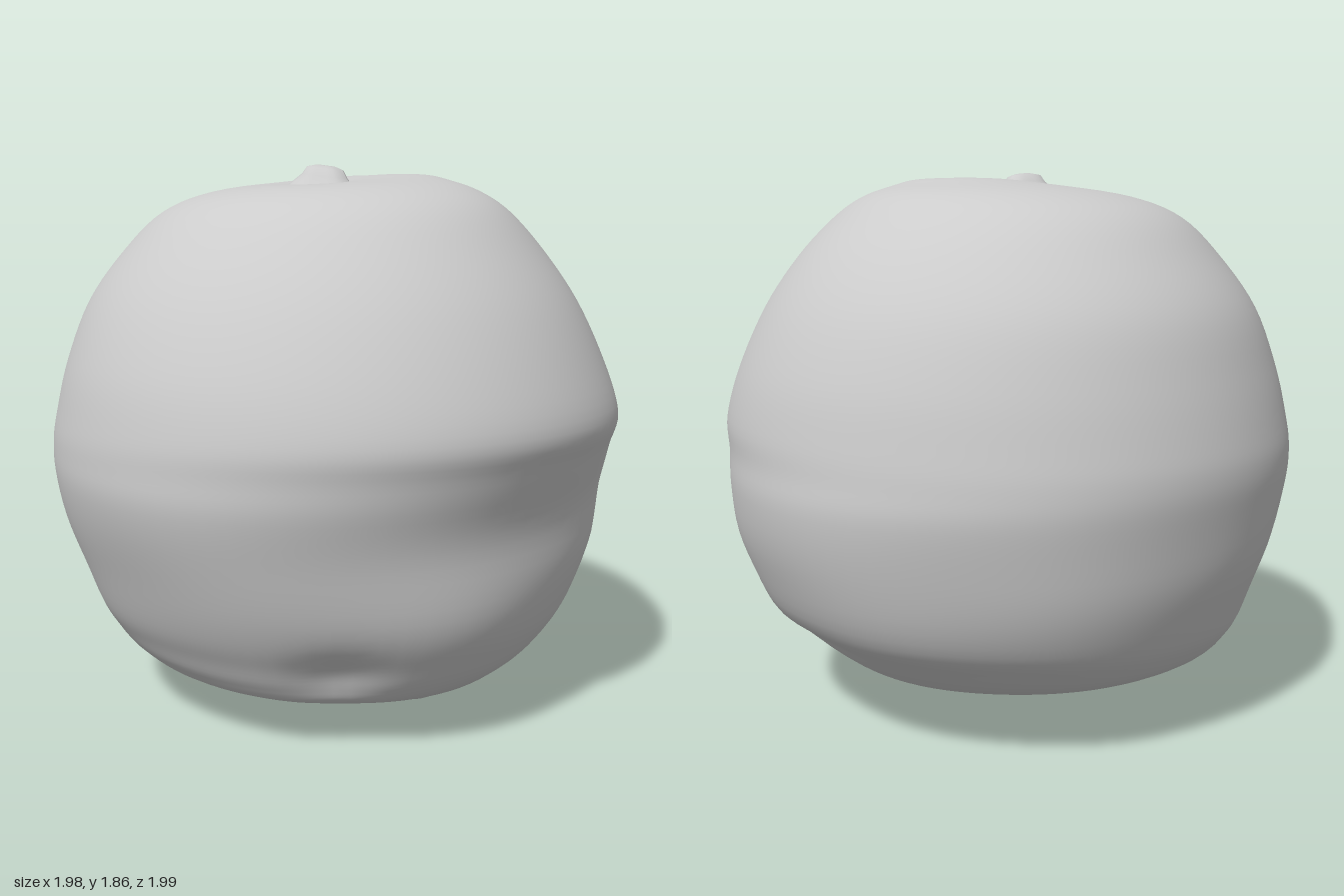
import * as THREE from 'three';

const material = new THREE.MeshStandardMaterial({ color: 0xcccccc, roughness: 0.8 });

// Cross-sections of the fruit: y, xMin, xMax, zMin, zMax
const sections = [
  [0.00, -0.03, -0.03, 0.37, 0.37],
  [0.015, -0.09, 0.10, 0.24, 0.42],
  [0.05, -0.20, 0.33, 0.02, 0.48],
  [0.11, -0.42, 0.46, -0.26, 0.59],
  [0.16, -0.66, 0.57, -0.57, 0.665],
  [0.22, -0.74, 0.66, -0.73, 0.735],
  [0.30, -0.79, 0.76, -0.82, 0.795],
  [0.40, -0.845, 0.865, -0.88, 0.85],
  [0.60, -0.93, 0.955, -0.945, 0.935],
  [0.80, -0.985, 0.99, -0.985, 0.965],
  [0.92, -0.99, 0.985, -0.995, 0.98],
  [1.03, -0.98, 0.975, -0.98, 0.998],
  [1.20, -0.935, 0.935, -0.94, 0.938],
  [1.40, -0.84, 0.85, -0.873, 0.84],
  [1.57, -0.715, 0.735, -0.755, 0.72],
  [1.70, -0.575, 0.605, -0.63, 0.605],
  [1.77, -0.41, 0.50, -0.47, 0.49],
  [1.81, -0.15, 0.37, -0.25, 0.36],
  [1.83, 0.02, 0.28, -0.08, 0.25],
  [1.83, 0.15, 0.15, 0.08, 0.08],
];

const gauss = (d, width) => Math.exp(-(d * d) / (width * width));

// Local dents and swellings, as a radial scale
function radialScale(a, y) {
  const off = (dir) => Math.atan2(Math.sin(a - dir), Math.cos(a - dir));
  // sunken front below the widest line
  let s = 1 - 0.065 * gauss(off(1.75), 0.75) * gauss(y - 0.69, 0.22);
  s += 0.025 * gauss(off(2.1), 0.45) * gauss(y - 0.4, 0.12);
  s -= 0.05 * gauss(off(2.5), 0.16) * gauss(y - 0.27, 0.09);
  s -= 0.025 * gauss(off(0.1), 0.2) * gauss(y - 0.31, 0.05);
  // gentle unevenness of the lower peel
  s += 0.008 * Math.sin(5 * a + 7 * y) * Math.sin(3 * a - 9 * y) * gauss(y - 0.45, 0.35);
  return s;
}

function bodyGeometry(rows = 95, cols = 80) {
  const curve = (f) => new THREE.CatmullRomCurve3(
    sections.map((s) => new THREE.Vector3(...f(s))), false, 'catmullrom', 0.5);
  const widths = curve((s) => [s[1], s[0], s[2]]);
  const depths = curve((s) => [s[3], s[0], s[4]]);
  const positions = [], index = [];
  for (let i = 0; i <= rows; i++) {
    const w = widths.getPoint(i / rows), d = depths.getPoint(i / rows);
    const cx = (w.x + w.z) / 2, cz = (d.x + d.z) / 2;
    for (let j = 0; j < cols; j++) {
      const a = (j / cols) * Math.PI * 2;
      const s = radialScale(a, w.y);
      const x = cx + Math.cos(a) * s * (w.z - w.x) / 2;
      const z = cz + Math.sin(a) * s * (d.z - d.x) / 2;
      // shallow dimple around the stem
      const dip = w.y > 1.5 ? 0.02 * gauss(Math.hypot(x + 0.12, z - 0.05), 0.15) : 0;
      positions.push(x, Math.max(0, w.y) - dip, z);
      if (i === rows) continue;
      const p = i * cols + j, q = i * cols + (j + 1) % cols;
      index.push(p, p + cols, q, q, p + cols, q + cols);
    }
  }
  const g = new THREE.BufferGeometry();
  g.setAttribute('position', new THREE.Float32BufferAttribute(positions, 3));
  g.setIndex(index);
  g.computeVertexNormals();
  return g;
}

// Small irregular stem button with a spreading foot
function stemGeometry() {
  const profile = [[0.135, -0.035], [0.1, 0], [0.075, 0.025], [0.06, 0.05], [0.035, 0.058], [0, 0.058]]
    .map(([r, y]) => new THREE.Vector2(r, y));
  const g = new THREE.LatheGeometry(profile, 20);
  const p = g.attributes.position;
  for (let i = 0; i < p.count; i++) {
    const a = Math.atan2(p.getZ(i), p.getX(i));
    const s = 1 + 0.13 * Math.cos(3 * a + 0.8);
    p.setXYZ(i, p.getX(i) * s, p.getY(i) - 0.15 * p.getZ(i), p.getZ(i) * s);
  }
  g.computeVertexNormals();
  return g;
}

export function createModel() {
  const group = new THREE.Group();
  group.name = 'fruit';

  const body = new THREE.Mesh(bodyGeometry(), material);
  body.name = 'peel';
  group.add(body);

  const stemMaterial = material.clone();
  stemMaterial.side = THREE.DoubleSide;
  const stem = new THREE.Mesh(stemGeometry(), stemMaterial);
  stem.name = 'stem';
  stem.position.set(-0.12, 1.795, 0.05);
  group.add(stem);

  return group;
}
